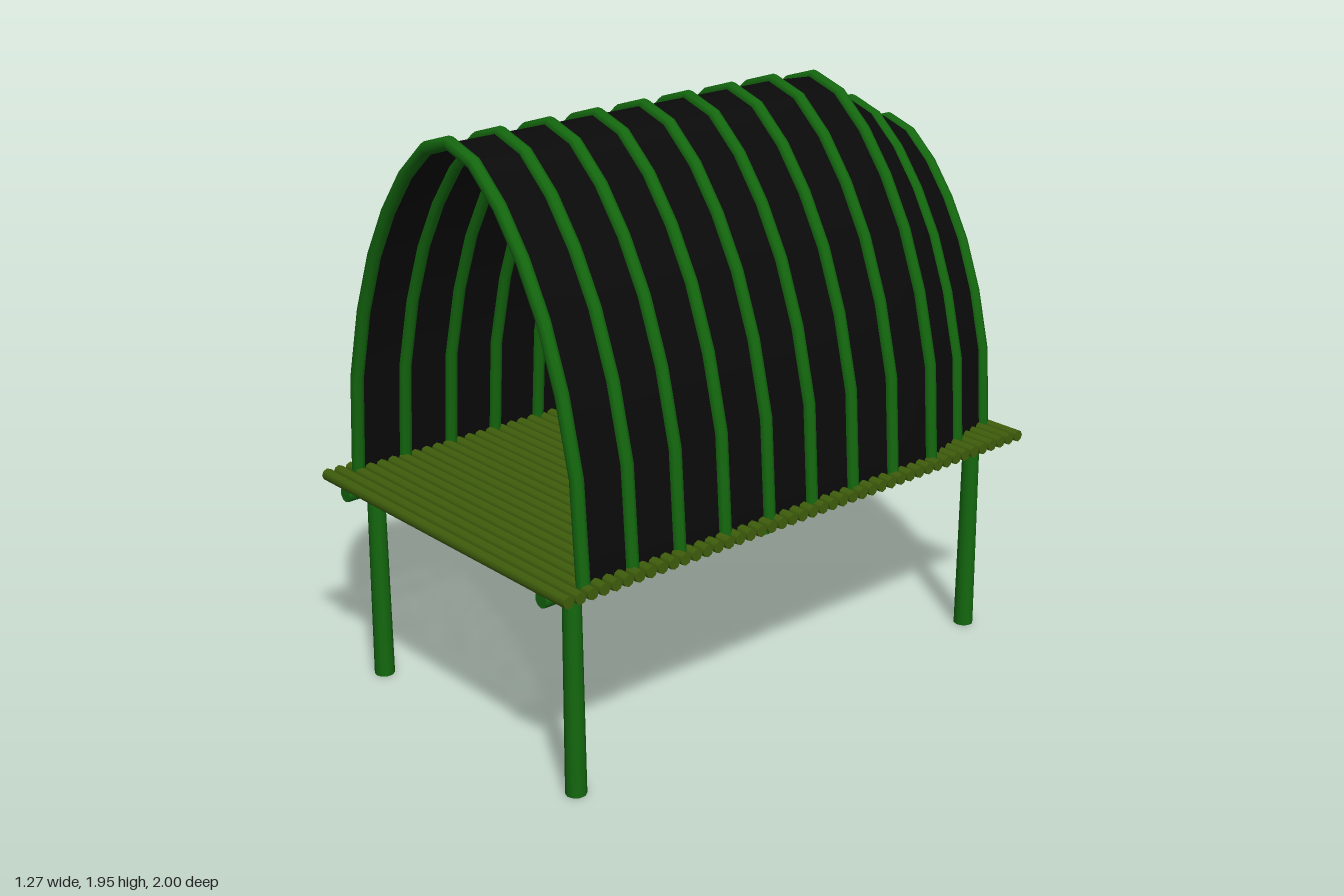
import * as THREE from 'three';

const green = new THREE.MeshStandardMaterial({ color: 0x14680f });
const olive = new THREE.MeshStandardMaterial({ color: 0x3f5e0c });
const black = new THREE.MeshStandardMaterial({ color: 0x0a0a0a, side: THREE.DoubleSide });

const FLOOR = 0.715;

// Right half of the arch centre line: [x, height above floor]
const half = [[0.588, 0], [0.565, 0.335], [0.505, 0.575], [0.428, 0.775], [0.338, 0.935], [0.236, 1.07], [0.118, 1.175], [0, 1.213]];
const profile = [...half, ...half.slice(0, -1).reverse().map(([x, y]) => [-x, y])];

// Arch stations from front to back: z, width scale, height scale
const stations = Array.from({ length: 11 }, (_, i) => ({ z: 0.89 - i * 0.185, sx: 1, sy: 1 }));
stations[8].sy = 0.99;
Object.assign(stations[9], { sx: 0.91, sy: 0.9 });
Object.assign(stations[10], { sx: 0.83, sy: 0.825 });

const archPoints = ({ z, sx, sy }) =>
  profile.map(([x, y]) => new THREE.Vector3(x * sx, FLOOR + y * sy, z));

// Path of straight segments with one tube ring at each corner
class Polyline extends THREE.Curve {
  constructor(points) {
    super();
    this.points = points;
  }
  getPoint(t, target = new THREE.Vector3()) {
    const n = this.points.length - 1;
    const i = Math.min(Math.floor(t * n), n - 1);
    return target.lerpVectors(this.points[i], this.points[i + 1], t * n - i);
  }
  getPointAt(t, target) {
    return this.getPoint(t, target);
  }
  getTangentAt(t, target) {
    return this.getTangent(t, target);
  }
}

// Straight pole between two points
function pole(name, a, b, r0, r1, material, sides = 10) {
  const from = new THREE.Vector3(...a);
  const dir = new THREE.Vector3(...b).sub(from);
  const mesh = new THREE.Mesh(new THREE.CylinderGeometry(r1, r0, dir.length(), sides), material);
  mesh.position.copy(from).addScaledVector(dir, 0.5);
  mesh.quaternion.setFromUnitVectors(new THREE.Vector3(0, 1, 0), dir.normalize());
  mesh.name = name;
  return mesh;
}

// Skin stretched through all arches
function coverGeometry() {
  const rows = stations.map(archPoints);
  const n = profile.length;
  const index = [];
  for (let r = 0; r < rows.length - 1; r++) {
    for (let i = 0; i < n - 1; i++) {
      const a = r * n + i, b = a + 1, c = a + n, d = c + 1;
      index.push(a, c, b, b, c, d);
    }
  }
  const geometry = new THREE.BufferGeometry().setFromPoints(rows.flat());
  geometry.setIndex(index);
  geometry.computeVertexNormals();
  return geometry;
}

export function createModel() {
  const model = new THREE.Group();
  model.name = 'coveredPlatform';

  // Floor of round slats
  const floor = new THREE.Group();
  floor.name = 'floorSlats';
  for (let i = 0; i < 45; i++) {
    const z = 0.98 - (i * 1.96) / 44;
    floor.add(pole('slat', [-0.635, 0.716, z], [0.635, 0.716, z], 0.02, 0.02, olive, 8));
  }
  model.add(floor);

  // Long beams and legs
  for (const s of [1, -1]) {
    model.add(pole('beam', [s * 0.515, 0.685, 0.99], [s * 0.515, 0.685, -0.995], 0.027, 0.027, green));
    for (const z of [0.875, -0.88]) {
      model.add(pole('leg', [s * 0.517, 0, z], [s * 0.513, 0.71, z], 0.034, 0.029, green));
    }
  }

  // Arched ribs
  const ribs = new THREE.Group();
  ribs.name = 'ribs';
  for (const station of stations) {
    const path = new Polyline(archPoints(station));
    const rib = new THREE.Mesh(new THREE.TubeGeometry(path, profile.length - 1, 0.022, 8), green);
    rib.name = 'rib';
    ribs.add(rib);
  }
  model.add(ribs);

  // Cover and closed back wall
  const cover = new THREE.Mesh(coverGeometry(), black);
  cover.name = 'cover';
  model.add(cover);

  const last = stations[stations.length - 1];
  const outline = archPoints(last).map((p) => new THREE.Vector2(p.x, p.y));
  const backWall = new THREE.Mesh(new THREE.ShapeGeometry(new THREE.Shape(outline)), black);
  backWall.position.z = last.z;
  backWall.name = 'backWall';
  model.add(backWall);

  return model;
}
